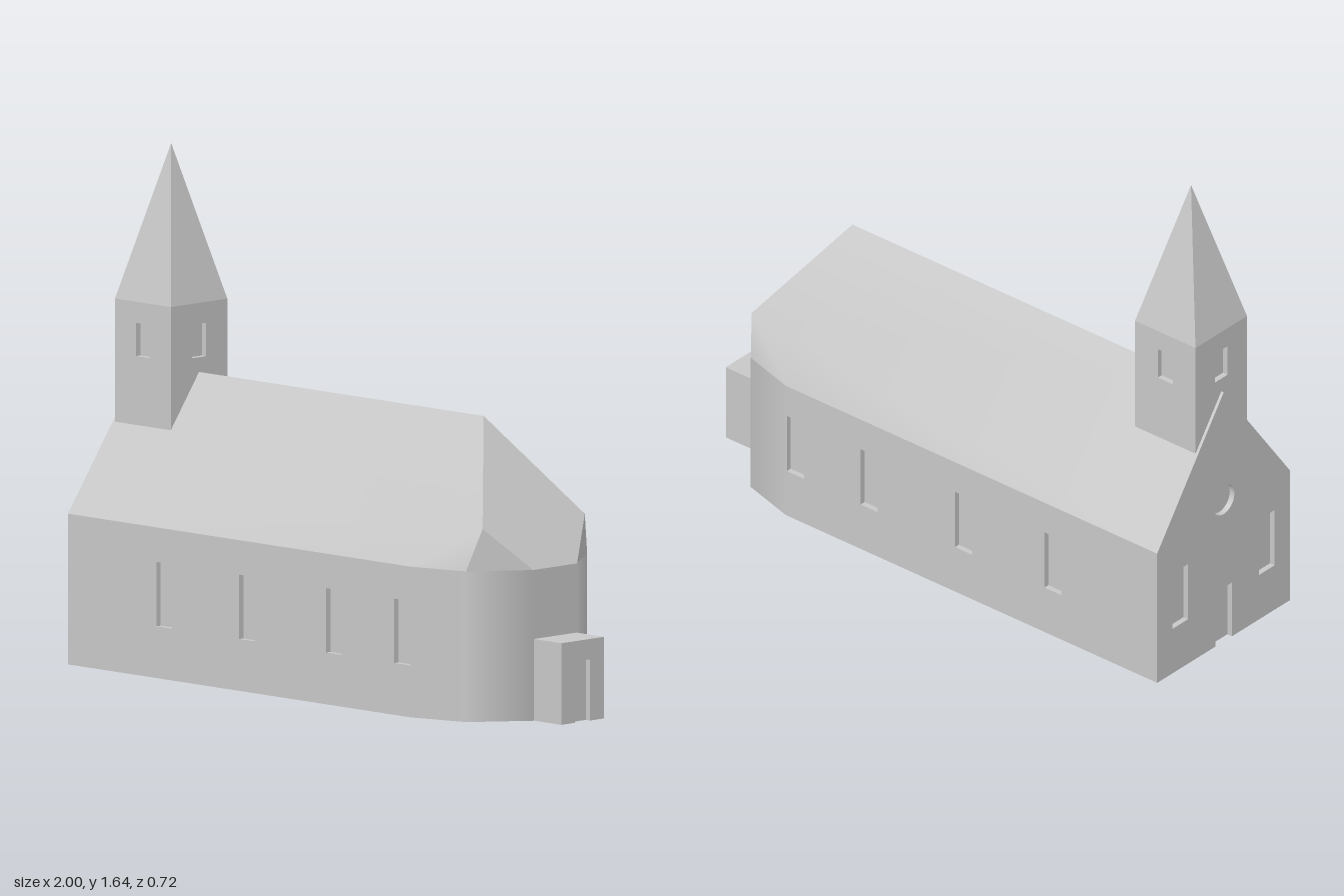
import * as THREE from 'three';
import { toCreasedNormals } from 'three/addons/utils/BufferGeometryUtils.js';
import { ConvexGeometry } from 'three/addons/geometries/ConvexGeometry.js';

const stone = new THREE.MeshStandardMaterial({ color: 0xc8c8c8 });
stone.name = 'pale grey stone';

const WEST = -0.986, NAVE_END = 0.549, APSE_END = 0.869, PORCH_END = 0.992;
const HALF = 0.323, EAVE = 0.48, RIDGE = 0.925, RECESS = 0.02;
const vec = (pts) => pts.map(([x, y]) => new THREE.Vector2(x, y));

function mesh(name, geometry, parent) {
  const m = new THREE.Mesh(geometry, stone);
  m.name = name;
  parent.add(m);
  return m;
}

// Rectangular opening centred on x
function opening(x, y0, y1, w) {
  return new THREE.Path(vec([[x - w / 2, y0], [x + w / 2, y0], [x + w / 2, y1], [x - w / 2, y1]]));
}

// Wall slab with openings and a recessed pane behind, outer face at local z = 0
function panel(name, outline, holes, x, z, turn, parent) {
  const g = new THREE.Group();
  g.name = name;
  const shape = new THREE.Shape(vec(outline));
  shape.holes.push(...holes);
  const slab = new THREE.ExtrudeGeometry(shape, { depth: RECESS, bevelEnabled: false, curveSegments: 16 });
  mesh(name + 'Face', slab.translate(0, 0, -RECESS), g);
  const xs = outline.map((p) => p[0]), ys = outline.map((p) => p[1]);
  const x0 = Math.min(...xs), x1 = Math.max(...xs), y0 = Math.min(...ys);
  const solid = outline.filter(([px, py]) => py > y0 || px === x0 || px === x1);
  // Drop door notches from the pane so that it closes the opening
  const pane = solid.filter((p) => !p[2]);
  mesh(name + 'Panes', new THREE.ShapeGeometry(new THREE.Shape(vec(pane))).translate(0, 0, -RECESS + 0.001), g);
  g.position.set(x, 0, z);
  g.rotation.y = turn;
  parent.add(g);
}

// Door notch points on the ground line (third value marks them as notch)
const doorNotch = (w, h) => [[-w / 2, 0, 1], [-w / 2, h, 1], [w / 2, h, 1], [w / 2, 0, 1]];

export function createModel() {
  const model = new THREE.Group();
  model.name = 'church';
  const body = new THREE.Group();
  body.name = 'churchBody';
  body.rotation.y = -0.0465;
  body.position.z = 0.008;
  model.add(body);

  // Long nave walls
  for (const s of [1, -1]) {
    const windows = [-0.555, -0.185, 0.205, 0.51].map((u) => opening(s * u, 0.165, 0.37, 0.07));
    panel(s > 0 ? 'frontWall' : 'backWall',
      [[s * WEST, 0], [s * NAVE_END, 0], [s * NAVE_END, EAVE], [s * WEST, EAVE]],
      windows, 0, s * HALF, s > 0 ? 0 : Math.PI, body);
  }

  // Gable with door, two windows and a round window
  const rose = new THREE.Path();
  rose.absarc(0, 0.525, 0.052, 0, Math.PI * 2, true);
  panel('gableWall',
    [[-HALF, 0], ...doorNotch(0.08, 0.2), [HALF, 0], [HALF, EAVE], [0, RIDGE], [-HALF, EAVE]],
    [opening(-0.21, 0.165, 0.37, 0.075), opening(0.21, 0.165, 0.37, 0.075), rose],
    WEST, 0, -Math.PI / 2, body);

  // Rounded apse wall, smooth around the corners and flat at the end
  const corner = [[NAVE_END, HALF, 0], [0.741, 0.268, 35], [APSE_END, 0.097, 90]];
  const ring = [...corner, ...[...corner].reverse().map(([u, v, a]) => [u, -v, 180 - a])];
  const pos = [], nor = [], idx = [];
  ring.forEach(([u, v, a], i) => {
    const r = THREE.MathUtils.degToRad(a);
    for (const y of [0, EAVE]) {
      pos.push(u, y, v);
      nor.push(Math.sin(r), 0, Math.cos(r));
    }
    const k = i * 2;
    if (i < ring.length - 1) idx.push(k, k + 2, k + 1, k + 1, k + 2, k + 3);
  });
  const apse = new THREE.BufferGeometry();
  apse.setAttribute('position', new THREE.Float32BufferAttribute(pos, 3));
  apse.setAttribute('normal', new THREE.Float32BufferAttribute(nor, 3));
  apse.setIndex(idx);
  mesh('apseWall', apse, body);

  // Floor underside
  const inner = WEST + RECESS;
  const floor = new THREE.Shape(vec([[inner, HALF], ...ring, [inner, -HALF]]));
  mesh('floor', new THREE.ShapeGeometry(floor).rotateX(Math.PI / 2), body);

  // Roof with a hipped end and cut corners
  const hipV = 0.226, drop = hipV * (RIDGE - EAVE) / HALF;
  const hipU = NAVE_END + drop * (APSE_END - NAVE_END) / (RIDGE - EAVE);
  const roof = [new THREE.Vector3(inner, RIDGE, 0), new THREE.Vector3(NAVE_END, RIDGE, 0)];
  for (const s of [1, -1]) {
    roof.push(new THREE.Vector3(inner, EAVE, s * HALF), new THREE.Vector3(hipU, RIDGE - drop, s * hipV));
    for (const [u, v] of corner) roof.push(new THREE.Vector3(u, EAVE, s * v));
  }
  mesh('roof', toCreasedNormals(new ConvexGeometry(roof), 0.6), body);

  // Bell tower with a window on each side
  const tower = new THREE.Group();
  tower.name = 'tower';
  tower.position.set(-0.851, 0, 0);
  body.add(tower);
  const t = 0.125, top = 1.145;
  for (let i = 0; i < 4; i++) {
    const a = i * Math.PI / 2;
    panel('towerWall', [[-t, 0.7], [t, 0.7], [t, top], [-t, top]], [opening(0, 0.972, 1.078, 0.062)],
      t * Math.sin(a), t * Math.cos(a), a, tower);
  }
  const spire = new THREE.ConeGeometry(t * Math.SQRT2, 0.495, 4).rotateY(Math.PI / 4);
  mesh('spire', toCreasedNormals(spire, 0.4), tower).position.y = top + 0.2475;

  // Small porch on the apse
  const p = 0.0945, ph = 0.26, len = PORCH_END - RECESS - 0.85;
  mesh('porch', new THREE.BoxGeometry(len, ph, p * 2), body).position.set(0.85 + len / 2, ph / 2, 0);
  panel('porchDoorWall', [[-p, 0], ...doorNotch(0.066, 0.195), [p, 0], [p, ph], [-p, ph]], [],
    PORCH_END, 0, Math.PI / 2, body);

  return model;
}
